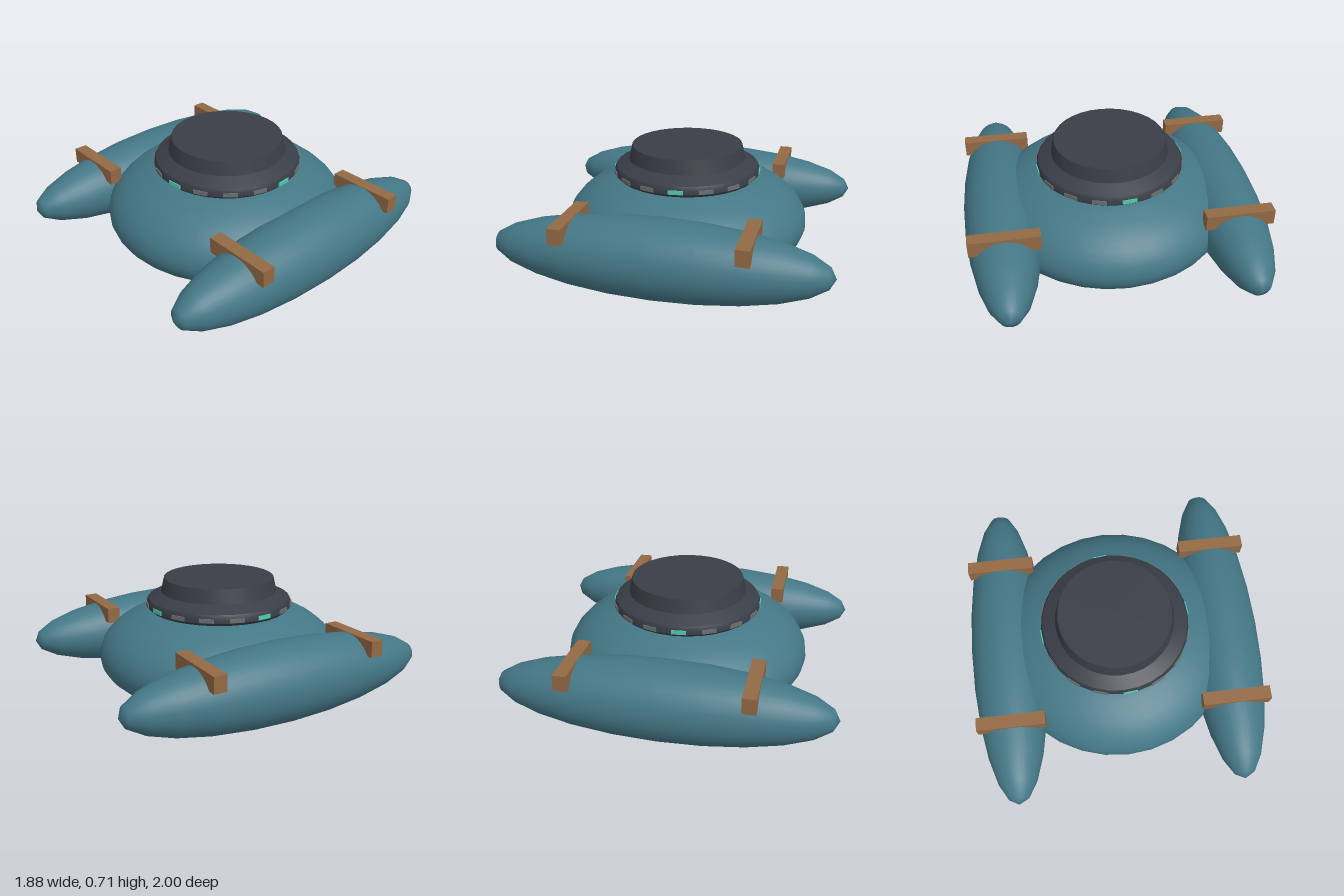
import * as THREE from 'three';
import { toCreasedNormals } from 'three/addons/utils/BufferGeometryUtils.js';

const SEGMENTS = 32;
const v2 = (x, y) => new THREE.Vector2(x, y);

function makeMaterial(name, color) {
  const material = new THREE.MeshStandardMaterial({ color });
  material.name = name;
  return material;
}

export function createModel() {
  const hullBlue = makeMaterial('hull teal blue', 0x447786);
  const towerGrey = makeMaterial('tower dark grey', 0x393d46);
  const braceBrown = makeMaterial('brace brown', 0x936944);
  const litWindow = makeMaterial('lit window green', 0x50cdb0);
  const darkWindow = makeMaterial('dull window grey', 0x6a6f6f);

  const model = new THREE.Group();
  model.name = 'pontoonCraft';
  const add = (name, geometry, material, x = 0, y = 0, z = 0) => {
    const mesh = new THREE.Mesh(geometry, material);
    mesh.name = name;
    mesh.position.set(x, y, z);
    model.add(mesh);
    return mesh;
  };
  const lathe = (points) => toCreasedNormals(new THREE.LatheGeometry(points, SEGMENTS), 0.5);

  // Round main hull: bulging wall with a flat underside
  const wall = new THREE.SplineCurve([
    v2(0.645, 0.045), v2(0.735, 0.13), v2(0.765, 0.225),
    v2(0.725, 0.335), v2(0.61, 0.438), v2(0.44, 0.512),
  ]).getPoints(15);
  add('hull', lathe([v2(0, 0.045), ...wall, v2(0, 0.512)]), hullBlue);

  // Stepped observation tower
  add('tower', lathe([
    v2(0, 0.505), v2(0.437, 0.51), v2(0.457, 0.53), v2(0.457, 0.56),
    v2(0.447, 0.58), v2(0.366, 0.62), v2(0.346, 0.707), v2(0, 0.707),
  ]), towerGrey);

  // Window plates on every second facet of the tower rim, every fourth one lit
  const windowGeometry = new THREE.BoxGeometry(0.088, 0.025, 0.009);
  const facet = (Math.PI * 2) / SEGMENTS;
  for (let i = 0; i < 16; i++) {
    const angle = facet * (2 * i + 0.5);
    const r = 0.457 * Math.cos(facet / 2) + 0.002;
    const pane = add(i % 4 ? 'dullWindow' : 'litWindow', windowGeometry, i % 4 ? darkWindow : litWindow,
      Math.sin(angle) * r, 0.546, Math.cos(angle) * r);
    pane.rotation.y = angle;
  }

  // Long side floats, each with a front and a rear brace
  const floatGeometry = new THREE.SphereGeometry(1, SEGMENTS, 12);
  floatGeometry.rotateX(Math.PI / 2).scale(0.24, 0.237, 1);
  const braceGeometry = new THREE.BoxGeometry(0.42, 0.097, 0.08);
  for (const side of [-1, 1]) {
    const label = side > 0 ? 'left' : 'right';
    add(label + 'Float', floatGeometry, hullBlue, side * 0.7, 0.238, 0);
    add(label + 'FrontBrace', braceGeometry, braceBrown, side * 0.697, 0.398, 0.523);
    add(label + 'RearBrace', braceGeometry, braceBrown, side * 0.697, 0.398, -0.523);
  }

  return model;
}
